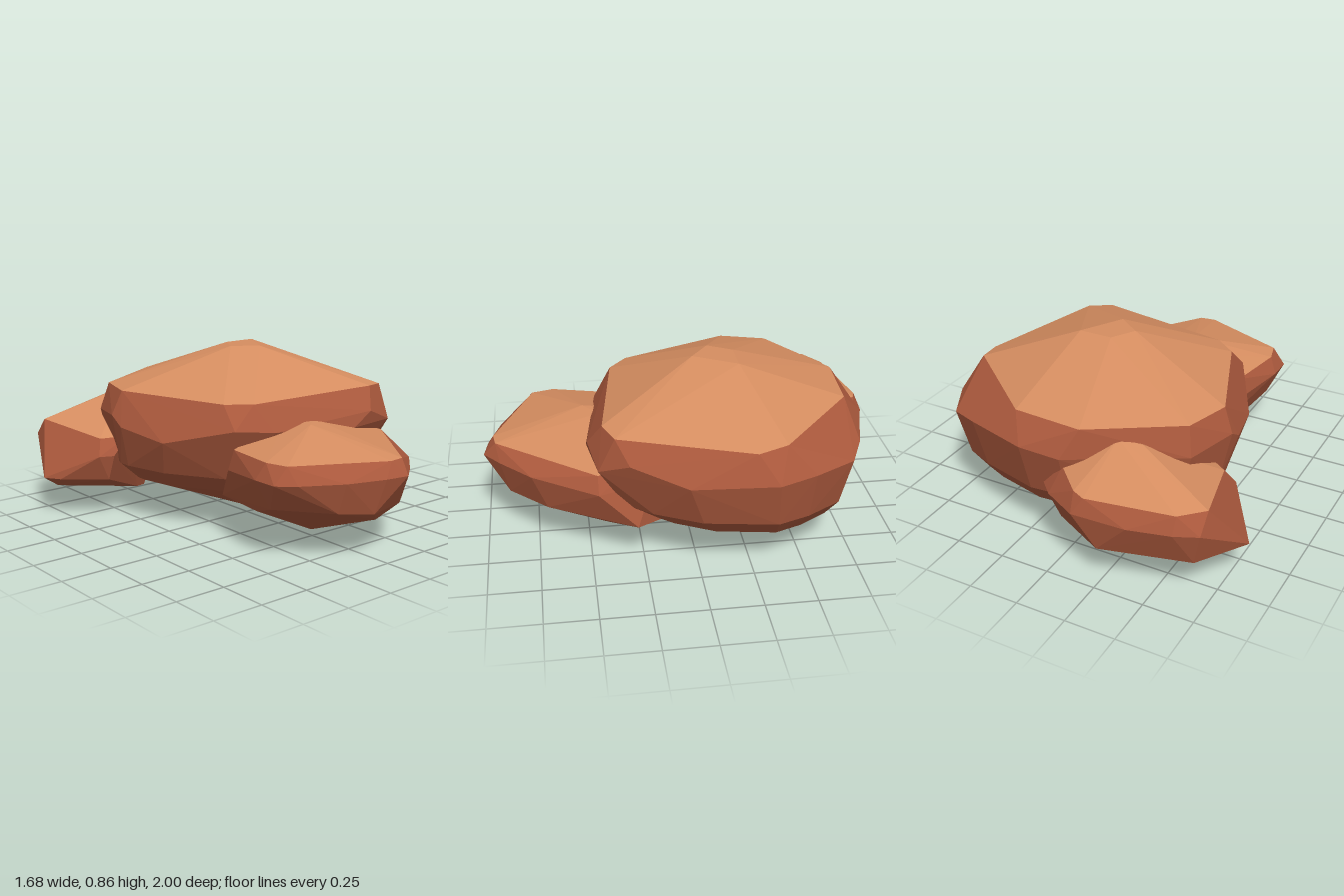
import * as THREE from 'three';
import { ConvexGeometry } from 'three/addons/geometries/ConvexGeometry.js';

const sandyTop = new THREE.MeshStandardMaterial({ color: 0xd58d60 });
sandyTop.name = 'sandyTop';
const redSide = new THREE.MeshStandardMaterial({ color: 0xa9583c });
redSide.name = 'redSide';

// Ring of [x, z] corners at height y; a third entry gives a corner its own height
const ring = (y, corners) => corners.map(([x, z, h = y]) => new THREE.Vector3(x, h, z));

// The same outline drawn in and shifted, for the undercut
const undercut = (y, corners, sx, dx, sz, dz) =>
  ring(y, corners.map(([x, z]) => [x * sx + dx, z * sz + dz]));

// Faceted boulder: hull of stacked rings; faces wholly above capY are sandy
function boulder(name, capY, rings) {
  const geometry = new ConvexGeometry(rings.flat());
  const pos = geometry.attributes.position;
  for (let i = 0; i < pos.count; i += 3) {
    const low = Math.min(pos.getY(i), pos.getY(i + 1), pos.getY(i + 2));
    geometry.addGroup(i, 3, low > capY ? 0 : 1);
  }
  const mesh = new THREE.Mesh(geometry, [sandyTop, redSide]);
  mesh.name = name;
  return mesh;
}

function mainBoulder() {
  const belt = [[-0.61, -0.32, 0.55], [-0.61, -0.24, 0.5], [-0.55, 0.03, 0.46],
    [-0.37, 0.36, 0.55], [-0.18, 0.43], [0.28, 0.5, 0.5], [0.39, 0.5, 0.57],
    [0.56, 0.46, 0.5], [0.66, 0.32, 0.57], [0.78, 0.06, 0.5], [0.84, -0.34, 0.52],
    [0.78, -0.52], [0.67, -0.72], [0.52, -0.79, 0.55], [0.2, -0.88, 0.55], [0, -0.86],
    [-0.52, -0.57]];
  return boulder('mainBoulder', 0.62, [
    ring(0.86, [[0, -0.13], [0.12, -0.04], [0.24, -0.25], [0.07, -0.25]]),
    ring(0.67, [[-0.56, -0.3], [-0.49, -0.53], [-0.2, -0.71], [-0.07, -0.79], [0.28, -0.77],
      [0.73, -0.39], [0.76, -0.25, 0.65], [0.57, 0.38], [0.45, 0.43, 0.68],
      [-0.24, 0.34, 0.66], [-0.35, 0.25, 0.66]]),
    ring(0.53, belt),
    undercut(0.29, belt, 0.93, 0.01, 0.85, -0.06),
    undercut(0.19, belt, 0.79, 0.04, 0.7, -0.12),
    ring(0.015, [[0.03, -0.1], [0.25, -0.07], [0.13, -0.25, 0]]),
  ]);
}

function frontBoulder() {
  return boulder('frontBoulder', 0.435, [
    ring(0.56, [[-0.02, 0.5], [0.08, 0.42], [0.05, 0.25]]),
    ring(0.46, [[-0.42, 0.64, 0.47], [-0.39, 0.75, 0.47], [0.06, 0.95], [0.14, 0.94],
      [0.51, 0.46, 0.45], [0.48, 0.3], [-0.36, 0.34]]),
    ring(0.39, [[-0.46, 0.61], [-0.46, 0.74], [-0.38, 0.81], [-0.19, 0.92], [0, 0.98],
      [0.12, 1], [0.22, 0.92], [0.38, 0.77], [0.56, 0.46, 0.37], [0.5, 0.2],
      [-0.38, 0.32, 0.36]]),
    ring(0.22, [[-0.4, 0.65, 0.25], [-0.19, 0.87, 0.24], [-0.02, 0.93], [0.2, 0.88],
      [0.38, 0.7], [0.59, 0.28, 0.2], [0.45, 0.1, 0.17], [-0.28, 0.15, 0.18],
      [-0.34, 0.48, 0.19]]),
    ring(0.14, [[0.05, 0.87, 0.165], [0.1, 0.05]]),
    ring(0.02, [[0.02, 0.47], [0.14, 0.36], [0.24, 0.4]]),
  ]);
}

function backBoulder() {
  return boulder('backBoulder', 0.4, [
    ring(0.61, [[-0.33, -0.67, 0.6], [-0.22, -0.7, 0.62], [-0.25, -0.6, 0.59]]),
    ring(0.45, [[-0.72, -0.81, 0.46], [-0.61, -0.9], [-0.19, -0.97], [-0.13, -0.95, 0.46],
      [0, -0.83, 0.48], [-0.62, -0.42, 0.41], [-0.5, -0.35, 0.42]]),
    ring(0.37, [[-0.72, -0.89], [-0.61, -0.94], [-0.41, -0.99], [-0.14, -1], [0.03, -0.91],
      [0.1, -0.84], [-0.66, -0.37, 0.33], [-0.59, -0.34, 0.33]]),
    ring(0.2, [[-0.84, -0.62], [-0.79, -0.54], [-0.76, -0.62, 0.145], [-0.68, -0.86],
      [-0.25, -0.97], [0.02, -0.83], [-0.6, -0.38]]),
    ring(0.06, [[-0.27, -0.67], [-0.24, -0.6], [-0.33, -0.53, 0.08]]),
  ]);
}

export function createModel() {
  const group = new THREE.Group();
  group.name = 'rockPile';
  group.add(mainBoulder(), frontBoulder(), backBoulder());
  return group;
}
